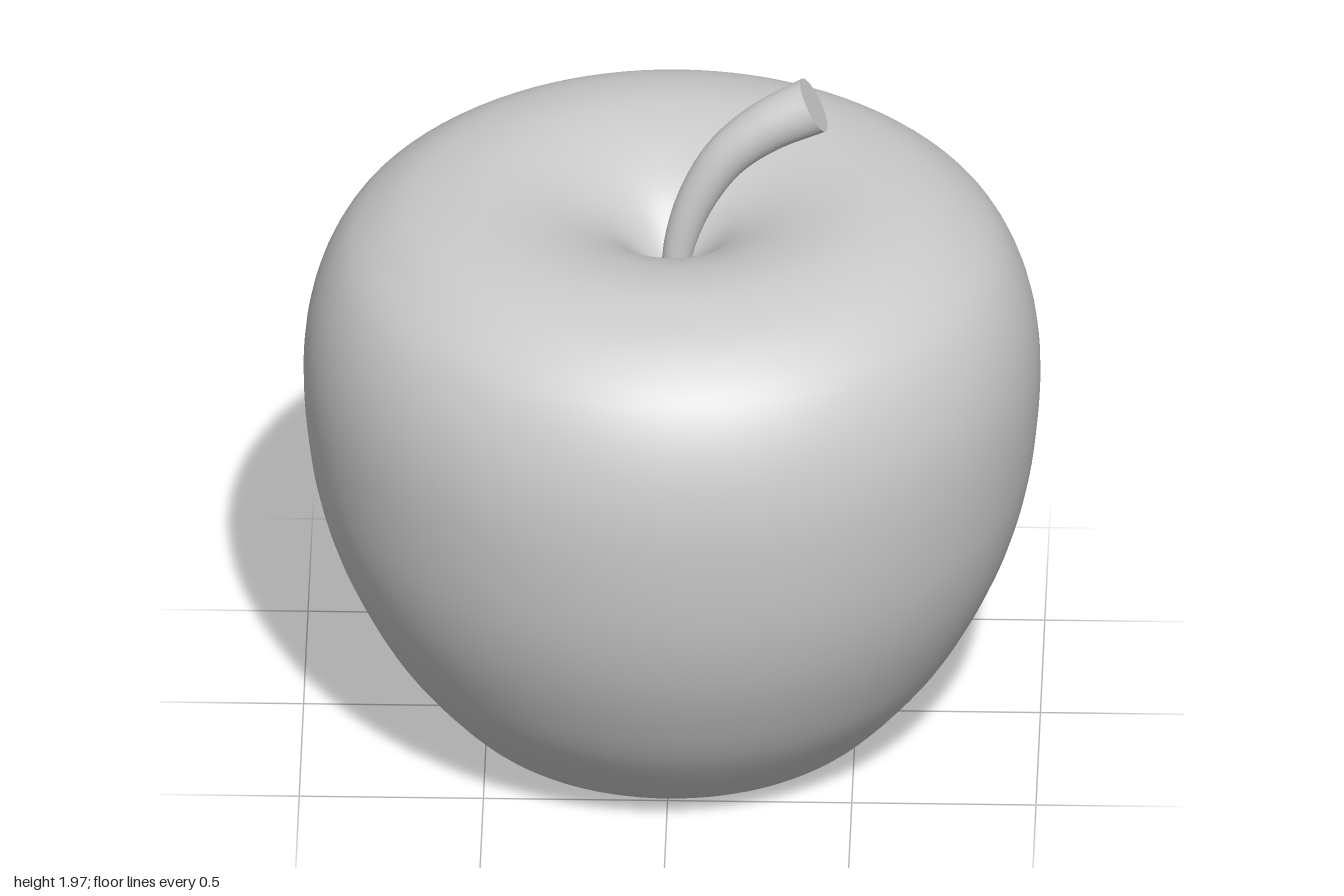
import * as THREE from 'three';

const material = new THREE.MeshStandardMaterial({ color: 0xcccccc });

// Fruit body: smooth spline profile, from the bottom dimple to the top one
function createBody() {
  const profile = new THREE.SplineCurve([
    [0, 0.13], [0.1, 0.083], [0.2, 0.045], [0.31, 0.015], [0.42, 0.002], [0.5, 0.015],
    [0.6, 0.075], [0.75, 0.25], [0.85, 0.42], [0.93, 0.61], [0.98, 0.82], [1, 1.08],
    [0.975, 1.28], [0.905, 1.44], [0.8, 1.54], [0.68, 1.597], [0.52, 1.62],
    [0.35, 1.595], [0.2, 1.53], [0.1, 1.445], [0, 1.33],
  ].map(([r, y]) => new THREE.Vector2(r, y)));
  const points = profile.getPoints(120);
  points.forEach((p) => { p.x = Math.max(p.x, 0); });
  const body = new THREE.Mesh(new THREE.LatheGeometry(points, 96), material);
  body.name = 'fruitBody';
  return body;
}

// Stem: bent tube that widens towards a flat cut end
function createStem() {
  const stem = new THREE.Group();
  stem.name = 'stem';
  const path = new THREE.CatmullRomCurve3([
    [0, 1.3], [0.025, 1.48], [0.075, 1.62], [0.15, 1.74], [0.255, 1.83], [0.385, 1.9],
  ].map(([x, y]) => new THREE.Vector3(x, y, 0)));
  const rings = 40, sides = 32, startRadius = 0.033, endRadius = 0.079;

  const geometry = new THREE.TubeGeometry(path, rings, 1, sides);
  const position = geometry.attributes.position;
  const v = new THREE.Vector3();
  for (let i = 0; i <= rings; i++) {
    const t = i / rings;
    const centre = path.getPointAt(t);
    const radius = THREE.MathUtils.lerp(startRadius, endRadius, t);
    for (let j = 0; j <= sides; j++) {
      const k = i * (sides + 1) + j;
      v.fromBufferAttribute(position, k).sub(centre).multiplyScalar(radius).add(centre);
      position.setXYZ(k, v.x, v.y, v.z);
    }
  }
  const stalk = new THREE.Mesh(geometry, material);
  stalk.name = 'stalk';
  stem.add(stalk);

  // Flat discs closing both ends
  [[0, startRadius, -1, 'stemBase'], [1, endRadius, 1, 'stemCutEnd']].forEach(([t, radius, sign, name]) => {
    const cap = new THREE.Mesh(new THREE.CircleGeometry(radius, sides), material);
    cap.position.copy(path.getPointAt(t));
    cap.quaternion.setFromUnitVectors(
      new THREE.Vector3(0, 0, 1), path.getTangentAt(t).multiplyScalar(sign));
    cap.name = name;
    stem.add(cap);
  });
  return stem;
}

export function createModel() {
  const model = new THREE.Group();
  model.name = 'apple';
  model.add(createBody(), createStem());
  return model;
}
